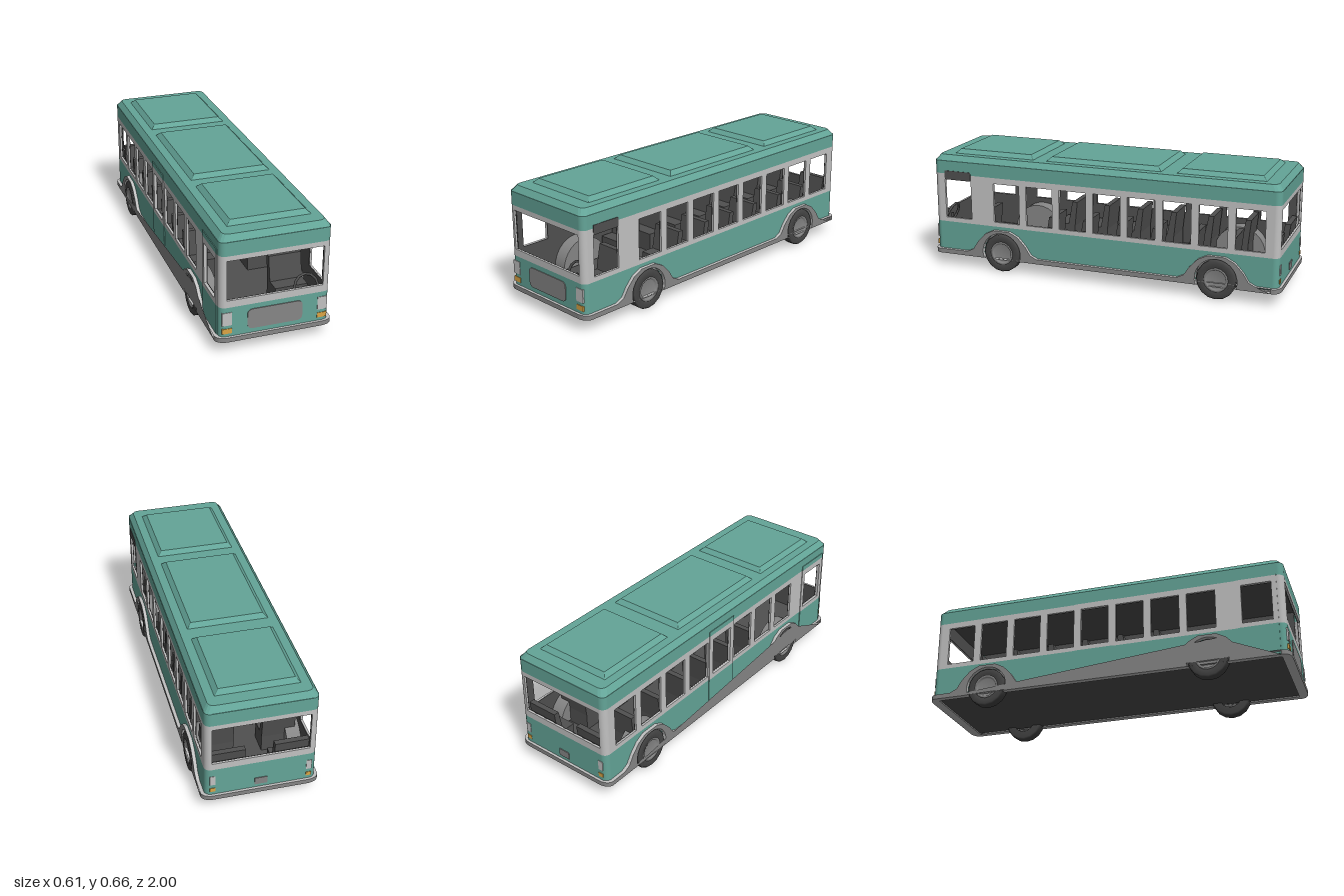
import * as THREE from 'three';

const paint = (name, color) => new THREE.MeshStandardMaterial({ name, color, side: THREE.DoubleSide });
const WHEEL_Y = 0.107, FRONT_Z = 0.573, REAR_Z = -0.66;
const HX = 0.286, HZ = 0.986, CORNER = 0.033;

// Flat panel with rectangular holes and wheel cutouts along its lower edge
function panelShape(u0, u1, y0, y1, holes = [], wheels = []) {
  const s = new THREE.Shape();
  s.moveTo(u0, y0);
  const r = 0.115, a = Math.asin((WHEEL_Y - y0) / r);
  for (const c of wheels) {
    s.lineTo(c - r * Math.cos(a), y0);
    s.absarc(c, WHEEL_Y, r, Math.PI + a, -a, true);
  }
  s.lineTo(u1, y0); s.lineTo(u1, y1); s.lineTo(u0, y1); s.closePath();
  for (const [a0, a1, b0, b1] of holes) {
    const h = new THREE.Path();
    h.moveTo(a0, b0); h.lineTo(a0, b1); h.lineTo(a1, b1); h.lineTo(a1, b0); h.closePath();
    s.holes.push(h);
  }
  return s;
}

function roundedRect(w, h, r) {
  const s = new THREE.Shape(), x = w / 2 - r, y = h / 2 - r;
  s.absarc(x, y, r, 0, Math.PI / 2);
  s.absarc(-x, y, r, Math.PI / 2, Math.PI);
  s.absarc(-x, -y, r, Math.PI, Math.PI * 1.5);
  s.absarc(x, -y, r, Math.PI * 1.5, Math.PI * 2);
  return s;
}

// Solid lofted through rounded rectangles, each [halfX, halfZ, radius, y]
function loft(rings) {
  const n = 3, m = 4 * (n + 1), pos = [], idx = [];
  const signs = [[1, 1], [-1, 1], [-1, -1], [1, -1]];
  for (const [hx, hz, r, y] of rings)
    signs.forEach(([sx, sz], k) => {
      for (let j = 0; j <= n; j++) {
        const a = (k + j / n) * Math.PI / 2;
        pos.push(sx * (hx - r) + r * Math.cos(a), y, sz * (hz - r) + r * Math.sin(a));
      }
    });
  const last = (rings.length - 1) * m, base = rings.length * m;
  pos.push(0, rings[0][3], 0, 0, rings[rings.length - 1][3], 0);
  for (let i = 0; i < m; i++) {
    const j = (i + 1) % m;
    for (let k = 0; k < last; k += m) idx.push(k + i, k + m + i, k + j, k + j, k + m + i, k + m + j);
    idx.push(base, i, j, base + 1, last + j, last + i);
  }
  const g = new THREE.BufferGeometry();
  g.setAttribute('position', new THREE.Float32BufferAttribute(pos, 3));
  g.setIndex(idx);
  const flat = g.toNonIndexed();
  flat.computeVertexNormals();
  return flat;
}

export function createModel() {
  const bus = new THREE.Group();
  bus.name = 'bus';
  const teal = paint('teal', 0x64a598), light = paint('lightGrey', 0xc2c2c2),
    grey = paint('grey', 0x868686), dark = paint('darkGrey', 0x505050),
    tyreMat = paint('tyreBlack', 0x454545), orange = paint('orange', 0xdba545);

  const add = (name, geo, mat, x = 0, y = 0, z = 0, parent = bus) => {
    const mesh = new THREE.Mesh(geo, mat);
    mesh.name = name;
    mesh.position.set(x, y, z);
    parent.add(mesh);
    return mesh;
  };
  const box = (name, w, h, d, mat, x, y, z) => add(name, new THREE.BoxGeometry(w, h, d), mat, x, y, z);
  const extrude = (shape, depth) =>
    new THREE.ExtrudeGeometry(shape, { depth, bevelEnabled: false, curveSegments: 8 });
  const side = (name, x, z, turn) => {
    const g = new THREE.Group();
    g.name = name;
    g.position.set(x, 0, z);
    g.rotation.y = turn;
    bus.add(g);
    return g;
  };
  const bands = [['lower', 0.085, 0.255, teal], ['window', 0.255, 0.533, light], ['upper', 0.533, 0.606, teal]];

  // Wall of three coloured bands with a dark inner lining; local z points outward
  function wall(parent, half, holes, wheels) {
    for (const [name, y0, y1, mat] of bands)
      add(name + 'Panel', extrude(panelShape(-half, half, y0, y1,
        name === 'window' ? holes : [], name === 'lower' ? wheels : []), 0.01), mat, 0, 0, -0.01, parent);
    add('lining', extrude(panelShape(-half, half, 0.085, 0.6, holes, wheels), 0.004), dark, 0, 0, -0.0145, parent);
  }
  // Slightly raised door with one window
  function door(parent, u0, u1, hole) {
    for (const [name, y0, y1, mat] of bands)
      add(name + 'DoorPanel', extrude(panelShape(u0, u1, y0 + (name === 'lower' ? 0.01 : 0),
        Math.min(y1, 0.56), name === 'window' ? [hole] : []), 0.004), mat, 0, 0, 0, parent);
  }

  // Side walls, sill strips and wheel arches
  const windows = [[0.76, 0.92]];
  for (let i = 0; i < 8; i++) windows.push([0.466 - 0.1965 * i, 0.621 - 0.1965 * i]);
  const flare = [[0.214, 0.096], [0.175, 0.115], [0.145, 0.162], [0.1, 0.21], [0.048, 0.236]];
  for (const s of [1, -1]) {
    const name = s > 0 ? 'left' : 'right';
    const g = side(name + 'Side', s * HX, 0, s * Math.PI / 2);
    const holes = windows.map(([a, b]) => (s > 0 ? [-b, -a, 0.28, 0.5] : [a, b, 0.28, 0.5]));
    const wheels = [-s * FRONT_Z, -s * REAR_Z].sort((a, b) => a - b);
    wall(g, HZ - CORNER, holes, wheels);
    if (s < 0) {
      door(g, 0.735, 0.948, holes[0]);
      door(g, -0.155, 0.06, holes[4]);
    } else {
      add('windowHeader', new THREE.BoxGeometry(0.16, 0.05, 0.004), dark, -0.84, 0.525, 0.001, g);
    }

    const strip = panelShape(-0.95, 0.95, 0.07, 0.095, [], wheels);
    const outline = new THREE.Shape(strip.getPoints(8).filter((p) => p.y < 0.0949 || Math.abs(p.x) < 0.94));
    outline.lineTo(0.95, 0.095);
    for (const c of [...wheels].reverse()) {
      for (const [d, y] of flare) outline.lineTo(c + d, y);
      for (const [d, y] of [...flare].reverse()) outline.lineTo(c - d, y);
    }
    outline.lineTo(-0.95, 0.095);
    outline.closePath();
    add('sillAndArches', extrude(outline, 0.032), [grey, light], 0, 0, 0.304 - HX - 0.032, g);
  }

  // End walls, bumpers, lamps
  for (const s of [1, -1]) {
    const name = s > 0 ? 'front' : 'rear';
    const g = side(name + 'End', 0, s * HZ, s > 0 ? 0 : Math.PI);
    wall(g, HX - CORNER, [[-0.249, 0.249, 0.293, 0.507]], []);

    const b = new THREE.Shape();
    b.moveTo(-0.304, -0.05); b.lineTo(0.304, -0.05); b.lineTo(0.304, -0.04);
    b.quadraticCurveTo(0.3, -0.006, 0.25, 0);
    b.lineTo(-0.25, 0);
    b.quadraticCurveTo(-0.3, -0.006, -0.304, -0.04);
    b.closePath();
    add('bumper', extrude(b, 0.025), [light, grey], 0, 0.095, 1 - HZ, g).rotation.x = Math.PI / 2;

    const [w, h, ly, oh, oy] = s > 0 ? [0.05, 0.071, 0.1925, 0.027, 0.1255] : [0.028, 0.055, 0.185, 0.022, 0.125];
    for (const m of [1, -1]) {
      add('lamp', new THREE.BoxGeometry(w, h, 0.009), light, m * 0.248, ly, -0.002, g);
      add('indicator', new THREE.BoxGeometry(w, oh, 0.009), orange, m * 0.248, oy, -0.002, g);
    }
    if (s > 0) add('grille', extrude(roundedRect(0.286, 0.108, 0.026), 0.004), grey, 0, 0.174, 0, g);
    else add('rearPlate', new THREE.BoxGeometry(0.065, 0.04, 0.006), grey, 0, 0.135, 0.001, g);
  }

  // Rounded body corners
  for (let k = 0; k < 4; k++) {
    const sx = k < 2 ? 1 : -1, sz = k === 0 || k === 3 ? 1 : -1;
    for (const [name, y0, y1, mat] of bands)
      add(name + 'Corner', new THREE.CylinderGeometry(CORNER, CORNER, y1 - y0, 6, 1, true, k * Math.PI / 2, Math.PI / 2),
        mat, sx * (HX - CORNER), (y0 + y1) / 2, sz * (HZ - CORNER));
  }

  // Roof with three raised hatches, ceiling and floor
  add('roof', loft([[HX, HZ, CORNER, 0.603], [0.261, 0.961, 0.03, 0.637]]), teal);
  for (const [z0, z1] of [[-0.894, -0.413], [-0.33, 0.33], [0.405, 0.886]]) {
    const h = (z1 - z0) / 2;
    add('roofHatch', loft([[0.218, h, 0.002, 0.635], [0.193, h - 0.025, 0.002, 0.66]]), teal, 0, 0, (z0 + z1) / 2);
  }
  box('ceiling', 0.54, 0.01, 1.94, dark, 0, 0.592, 0);
  box('floor', 0.55, 0.02, 1.95, dark, 0, 0.088, 0);

  // Wheels and inner wheel housings
  const tyre = [[0.06, 0.245], [0.098, 0.245], [0.107, 0.252], [0.107, 0.296], [0.1, 0.303], [0.068, 0.304], [0.064, 0.294]];
  const hub = [[0.066, 0.294], [0.066, 0.303], [0.055, 0.3], [0.05, 0.291], [0, 0.291]];
  const lathe = (pts) => new THREE.LatheGeometry(pts.map(([r, h]) => new THREE.Vector2(r, h)), 16);
  for (const s of [1, -1])
    for (const z of [FRONT_Z, REAR_Z]) {
      const wheel = new THREE.Group();
      wheel.name = 'wheel';
      wheel.position.set(0, WHEEL_Y, z);
      wheel.rotation.z = -s * Math.PI / 2;
      bus.add(wheel);
      add('tyre', lathe(tyre), tyreMat, 0, 0, 0, wheel);
      add('hub', lathe(hub), grey, 0, 0, 0, wheel);
      add('wheelHousing', new THREE.CylinderGeometry(0.145, 0.145, 0.075, 14, 1, false, 0, Math.PI),
        grey, s * 0.234, WHEEL_Y, z).rotation.z = Math.PI / 2;
    }

  // Seats: one reclined profile extruded across x
  const seatShape = new THREE.Shape([[0.1, 0.095], [0.1, 0.2], [0.025, 0.2], [0, 0.333], [-0.03, 0.333],
    [-0.015, 0.19], [-0.015, 0.095]].map(([z, y]) => new THREE.Vector2(-z, y)));
  const seatGeo = extrude(seatShape, 0.175);
  const seat = (name, s, z) => {
    add(name, seatGeo, dark, s > 0 ? 0.075 : -0.25, 0, z).rotation.y = Math.PI / 2;
  };
  for (const s of [1, -1])
    for (const z of [0.302, 0.102, -0.098, -0.295, -0.51, -0.72, -0.935]) seat('seat', s, z);
  seat('driverSeat', 1, 0.7);

  // Steering wheel
  const steering = add('steeringWheel', new THREE.TorusGeometry(0.062, 0.007, 6, 12), dark, 0.18, 0.273, 0.94);
  steering.rotation.x = -0.35;
  const column = add('steeringColumn', new THREE.CylinderGeometry(0.008, 0.008, 0.18, 6), dark, 0.18, 0.185, 0.945);
  column.rotation.x = -0.05;
  return bus;
}
